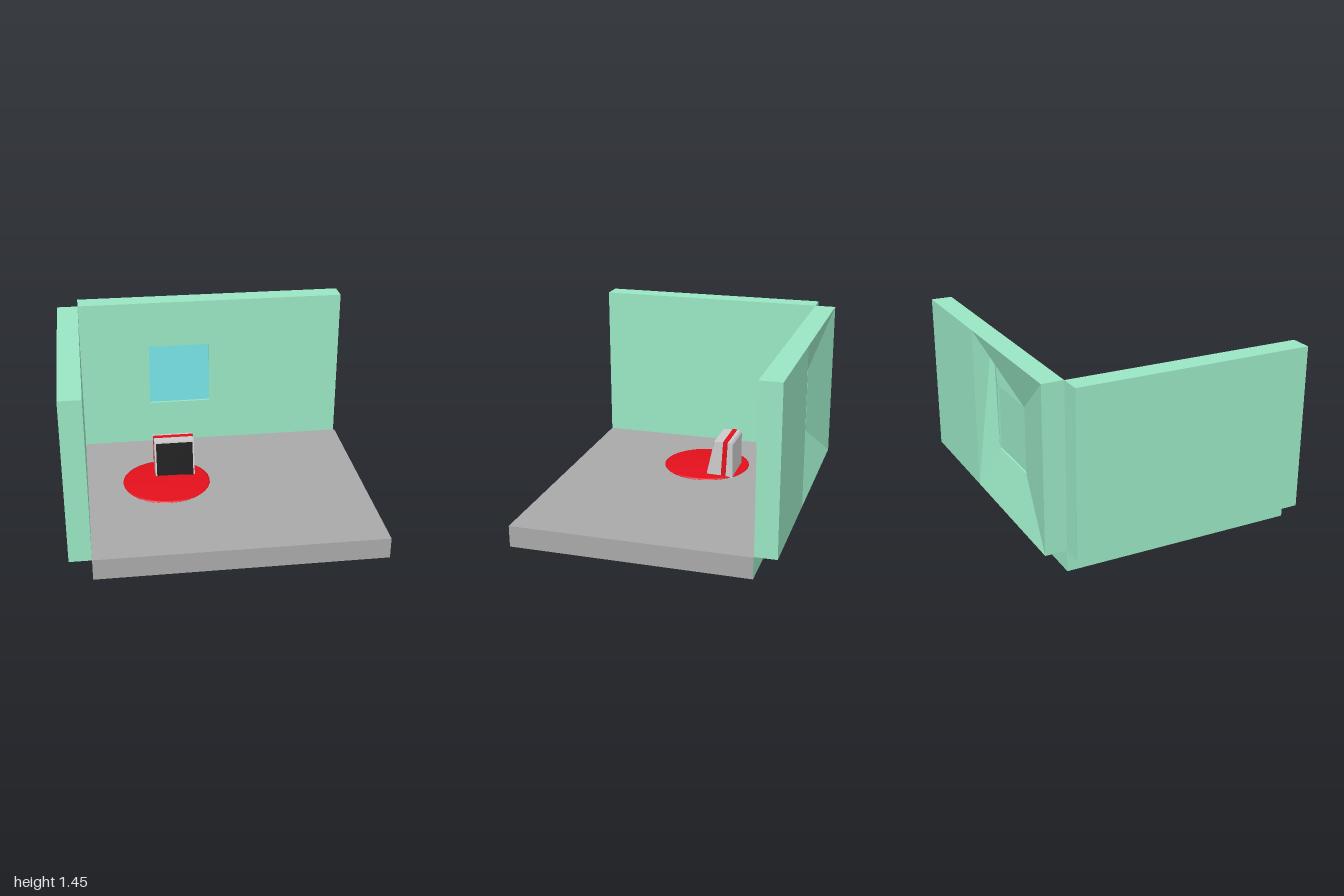
import * as THREE from 'three';

const mat = (color, extra = {}) => new THREE.MeshStandardMaterial({ color, ...extra });
const green = mat(0x99e6c3);
const greenFlat = mat(0x99e6c3, { flatShading: true, side: THREE.DoubleSide });
const stone = mat(0xa9a9a9);
const grey = mat(0xcccccc);
const red = mat(0xe3101c);
const black = mat(0x0c0c0c);
const glass = mat(0x77e4e8);

function add(parent, name, geometry, material) {
  const mesh = new THREE.Mesh(geometry, material);
  mesh.name = name;
  parent.add(mesh);
  return mesh;
}

// Box given by its minimum and maximum corners
function box(parent, name, a, b, material) {
  const mesh = add(parent, name, new THREE.BoxGeometry(b[0] - a[0], b[1] - a[1], b[2] - a[2]), material);
  mesh.position.set((a[0] + b[0]) / 2, (a[1] + b[1]) / 2, (a[2] + b[2]) / 2);
  return mesh;
}

// Side profile of [z, y] points extruded from x0 to x1
function prism(parent, name, profile, x0, x1, material) {
  const shape = new THREE.Shape(profile.map(([z, y]) => new THREE.Vector2(z, y)));
  const geo = new THREE.ExtrudeGeometry(shape, { depth: x1 - x0, bevelEnabled: false });
  geo.rotateY(-Math.PI / 2).translate(x1, 0, 0);
  return add(parent, name, geo, material);
}

// Polygons fanned into triangles, corners counter-clockwise from outside
function polygons(faces) {
  const pos = [];
  for (const f of faces)
    for (let i = 1; i < f.length - 1; i++) pos.push(...f[0], ...f[i], ...f[i + 1]);
  const geo = new THREE.BufferGeometry();
  geo.setAttribute('position', new THREE.Float32BufferAttribute(pos, 3));
  geo.computeVertexNormals();
  return geo;
}

const FLOOR = 0.385, TOP = 1.45;

// Back wall with a window opening and a hollowed rear around it
function backWall(parent) {
  const x0 = -0.86, x1 = 0.99, xs = 0.21, zf = -0.70, zb = -0.84, zw = -0.745;
  const rect = (a, b, c, d, z) => [[a, c, z], [b, c, z], [b, d, z], [a, d, z]];
  const front = rect(x0, x1, FLOOR, TOP, zf);
  const back = rect(x0, x1, FLOOR, TOP, zb);
  const hole = rect(-0.38, 0.05, 0.69, 1.125, zf);
  const rim = rect(-0.38, 0.05, 0.69, 1.125, zw);
  const [w3, w2, w1, w4] = rim;
  const a = [xs, TOP, zb], b = [xs, FLOOR, zb], aIn = [xs, TOP, zf - 0.002];
  const faces = [];
  for (let i = 0; i < 4; i++) {
    const j = (i + 1) % 4;
    faces.push([front[i], front[j], hole[j], hole[i]]);   // front face around the opening
    faces.push([hole[i], hole[j], rim[j], rim[i]]);       // reveal
    faces.push([front[j], front[i], back[i], back[j]]);   // outer edges
  }
  faces.push(
    [b, a, back[2], back[1]],                // flat part of the rear
    [a, b, aIn], [aIn, b, w2], [aIn, w2, w1], // step down to the opening
    [a, aIn, w4], [aIn, w1, w4],
    [back[3], a, w4],
    [back[0], back[3], w4, w3],
    [b, back[0], w3, w2],
  );
  add(parent, 'backWall', polygons(faces), greenFlat);
  box(parent, 'windowPane', [-0.38, 0.69, -0.733], [0.05, 1.125, -0.717],
    [green, green, green, green, glass, green]);
}

// Upright wedge-shaped unit that passes through the floor
function tower() {
  const g = new THREE.Group();
  g.name = 'tower';
  const x0 = -0.395, x1 = -0.125;
  const slope = (y) => -0.03 - 0.214 * y;
  prism(g, 'towerBody',
    [[-0.03, 0], [slope(0.64), 0.64], [-0.285, 0.64], [-0.296, 0.625], [-0.30, 0]], x0, x1, grey);

  // Band around the sides and top
  prism(g, 'redBand', [[-0.194, 0.001], [-0.23, 0.643], [-0.262, 0.643], [-0.23, 0.001]],
    x0 - 0.002, x1 + 0.002, red);

  // Dark panels lying on the sloping front
  const panel = (name, xa, xb, y0, y1) => prism(g, name, [
    [slope(y0) - 0.01, y0], [slope(y0) + 0.002, y0],
    [slope(y1) + 0.002, y1], [slope(y1) - 0.01, y1]], xa, xb, black);
  panel('upperPanel', -0.385, -0.135, 0.31, 0.628);
  for (const [xa, xb] of [[-0.385, -0.32], [-0.28, -0.238], [-0.198, -0.135]])
    panel('lowerPanel', xa, xb, 0.02, 0.3);

  // Row of sockets low on the back
  for (let i = 0; i < 4; i++) {
    const x = -0.37 + i * 0.06;
    box(g, 'socket', [x, 0.02, -0.303], [x + 0.04, 0.07, -0.29], black);
  }

  // Thin cable trailing from the back
  const path = new THREE.CatmullRomCurve3([
    [-0.36, 0.025, -0.295], [-0.345, 0.022, -0.36], [-0.30, 0.018, -0.42], [-0.24, 0.008, -0.49],
  ].map((p) => new THREE.Vector3(...p)));
  add(g, 'cable', new THREE.TubeGeometry(path, 16, 0.002, 6), black);
  return g;
}

export function createModel() {
  const model = new THREE.Group();
  model.name = 'room';

  // Floor slab, grey on the room side and green outside
  box(model, 'floor', [-0.86, 0.245, -0.70], [1.0, FLOOR, 0.84],
    [stone, green, stone, green, stone, green]);
  box(model, 'sideWall', [-1, FLOOR, -0.70], [-0.86, TOP, 0.84], green);
  backWall(model);

  // Shallow domed rug
  const rugProfile = [[0.29, 0], [0.296, 0.006], [0.28, 0.011], [0.15, 0.02], [0, 0.023]];
  const rug = add(model, 'rug', new THREE.LatheGeometry(
    rugProfile.map(([r, y]) => new THREE.Vector2(r, y)), 32), red);
  rug.position.set(-0.325, FLOOR, -0.065);

  model.add(tower());
  return model;
}
